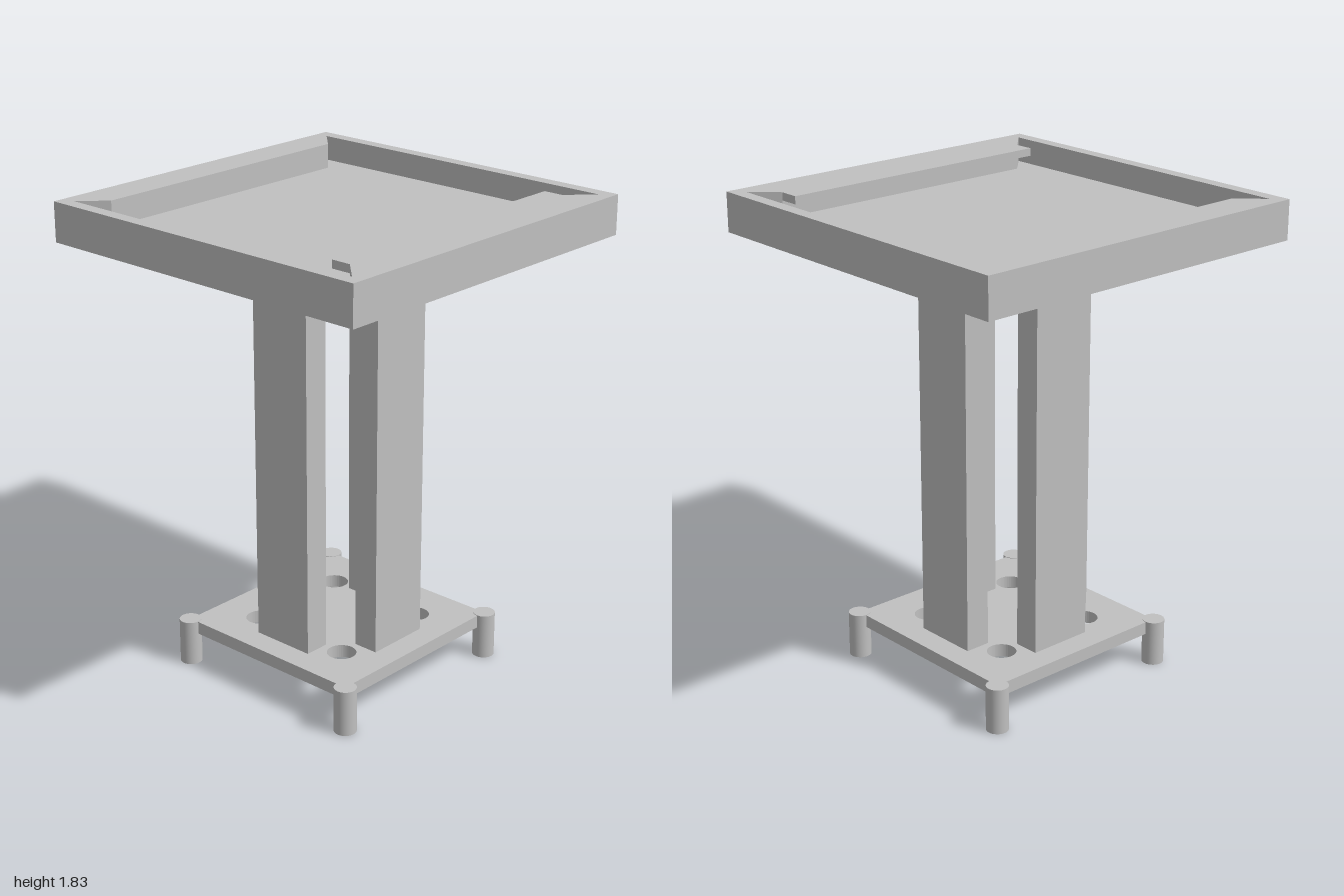
import * as THREE from 'three';

const grey = new THREE.MeshStandardMaterial({ color: 0xc0c0c0 });
grey.name = 'plain grey';

// Horizontal slab: outline and holes are drawn in plan with +y towards the back
function slab(name, half, holes, bottom, top) {
  const shape = new THREE.Shape([[-half, -half], [half, -half], [half, half], [-half, half]]
    .map(([x, y]) => new THREE.Vector2(x, y)));
  shape.holes.push(...holes);
  const geo = new THREE.ExtrudeGeometry(shape, { depth: top - bottom, bevelEnabled: false, curveSegments: 24 });
  geo.rotateX(-Math.PI / 2);
  const mesh = new THREE.Mesh(geo, grey);
  mesh.name = name;
  mesh.position.y = bottom;
  return mesh;
}

// Tray opening with pointed corners; the front edge may carry an overhanging lip
function trayOpening(lip) {
  const a = 0.658, b = 0.565, c = 0.488;
  const points = [[a, a], [b, b], [-b, b], [-a, a], [-a, -a], [-b, -b]];
  if (lip) points.push([-b, -c], [b, -c]);
  points.push([b, -b], [a, -a]);
  return new THREE.Path(points.map(([x, y]) => new THREE.Vector2(x, y)));
}

export function createModel() {
  const model = new THREE.Group();
  model.name = 'pedestalStand';
  const body = new THREE.Group();
  body.name = 'body';
  body.rotation.y = Math.PI / 4;
  model.add(body);

  // Tray: floor, rim wall, and top rim with the lip
  const half = Math.SQRT1_2;
  body.add(
    slab('trayFloor', half, [], 1.68, 1.735),
    slab('trayRim', half, [trayOpening(false)], 1.735, 1.8),
    slab('trayTopRim', half, [trayOpening(true)], 1.8, 1.83)
  );

  // Base plate with four round holes
  const holes = [];
  for (const x of [-0.21, 0.21]) for (const y of [-0.21, 0.21]) {
    holes.push(new THREE.Path().absarc(x, y, 0.055, 0, Math.PI * 2, true));
  }
  body.add(slab('basePlate', 0.4, holes, 0.125, 0.175));

  // Four upright panels and four round feet at the plate corners
  const panelGeo = new THREE.BoxGeometry(0.255, 1.505, 0.1).translate(0, 0.9275, 0.255);
  const footGeo = new THREE.CylinderGeometry(0.042, 0.042, 0.177, 32).translate(0.4, 0.0885, 0.4);
  for (let i = 0; i < 4; i++) {
    for (const [name, geo] of [['uprightPanel', panelGeo], ['foot', footGeo]]) {
      const mesh = new THREE.Mesh(geo, grey);
      mesh.name = name + (i + 1);
      mesh.rotation.y = i * Math.PI / 2;
      body.add(mesh);
    }
  }
  return model;
}
